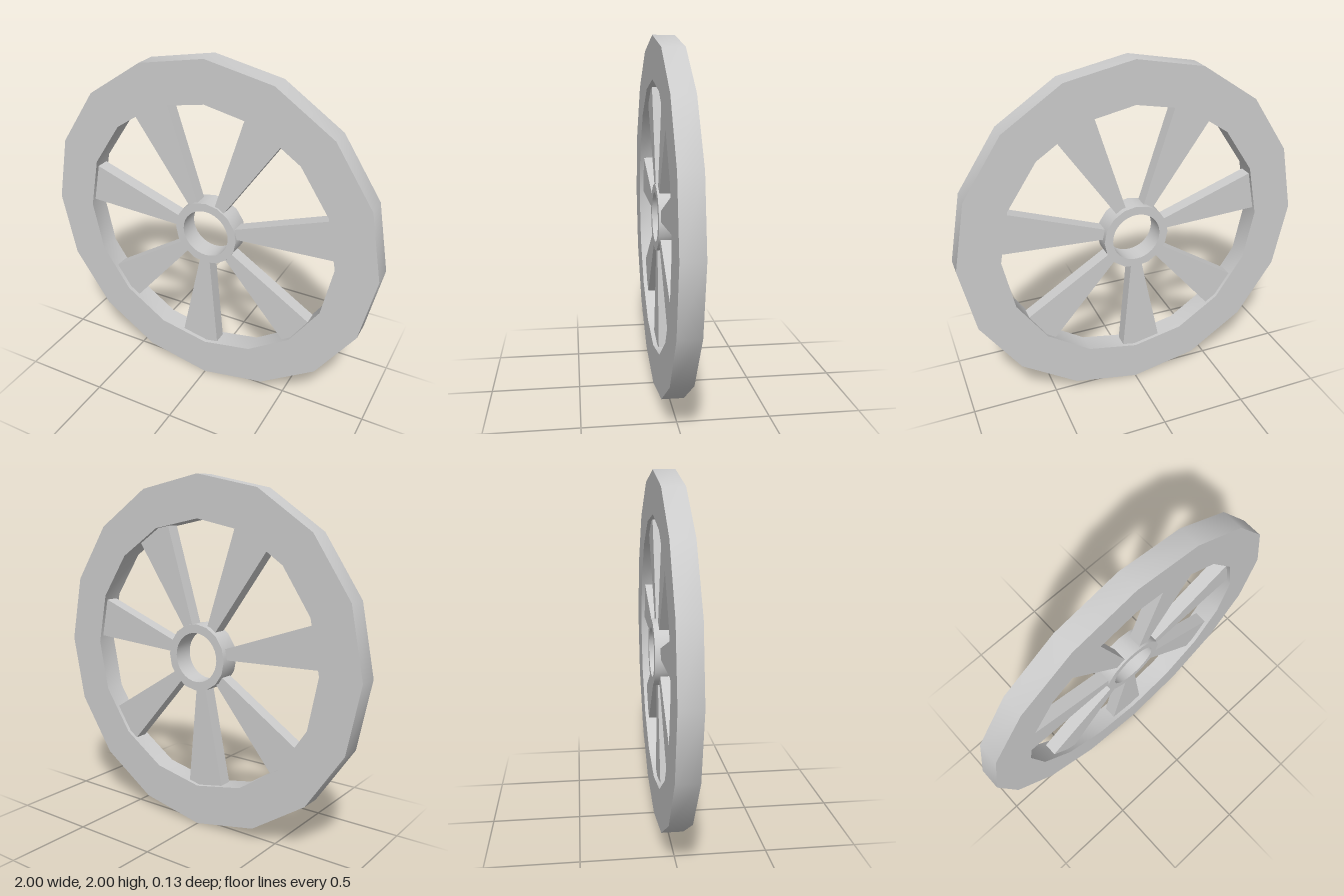
import * as THREE from 'three';
import { toCreasedNormals } from 'three/addons/utils/BufferGeometryUtils.js';

const material = new THREE.MeshStandardMaterial({ color: 0xcccccc });

// Corners of a regular polygon, first corner on +x
function polygon(radius, sides) {
  return Array.from({ length: sides }, (_, i) => {
    const a = (i / sides) * Math.PI * 2;
    return new THREE.Vector2(Math.cos(a) * radius, Math.sin(a) * radius);
  });
}

// Extrude a shape from zBack to zFront
function plate(name, shape, zBack, zFront) {
  const flat = new THREE.ExtrudeGeometry(shape, { depth: zFront - zBack, bevelEnabled: false });
  flat.translate(0, 0, zBack);
  const mesh = new THREE.Mesh(toCreasedNormals(flat, Math.PI / 6), material);
  mesh.name = name;
  return mesh;
}

function ring(name, outer, outerSides, inner, innerSides, zBack, zFront) {
  const shape = new THREE.Shape(polygon(outer, outerSides));
  shape.holes.push(new THREE.Path(polygon(inner, innerSides)));
  return plate(name, shape, zBack, zFront);
}

export function createModel() {
  const wheel = new THREE.Group();
  wheel.name = 'wheel';
  wheel.position.y = 1;

  // Faceted rim and the hub ring, which stands slightly proud at the back
  wheel.add(ring('rim', 1, 16, 0.765, 16, -0.056, 0.066));
  wheel.add(ring('hub', 0.19, 16, 0.14, 32, -0.066, 0.054));

  // Seven spokes, widening from the hub and let into the rim
  const spokeShape = new THREE.Shape([
    new THREE.Vector2(0.165, -0.028),
    new THREE.Vector2(0.785, -0.121),
    new THREE.Vector2(0.785, 0.121),
    new THREE.Vector2(0.165, 0.028),
  ]);
  for (let i = 0; i < 7; i++) {
    const spoke = plate('spoke' + (i + 1), spokeShape, -0.035, 0.042);
    spoke.rotation.z = THREE.MathUtils.degToRad(266.7 + i * 52.5);
    wheel.add(spoke);
  }

  const model = new THREE.Group();
  model.add(wheel);
  return model;
}
